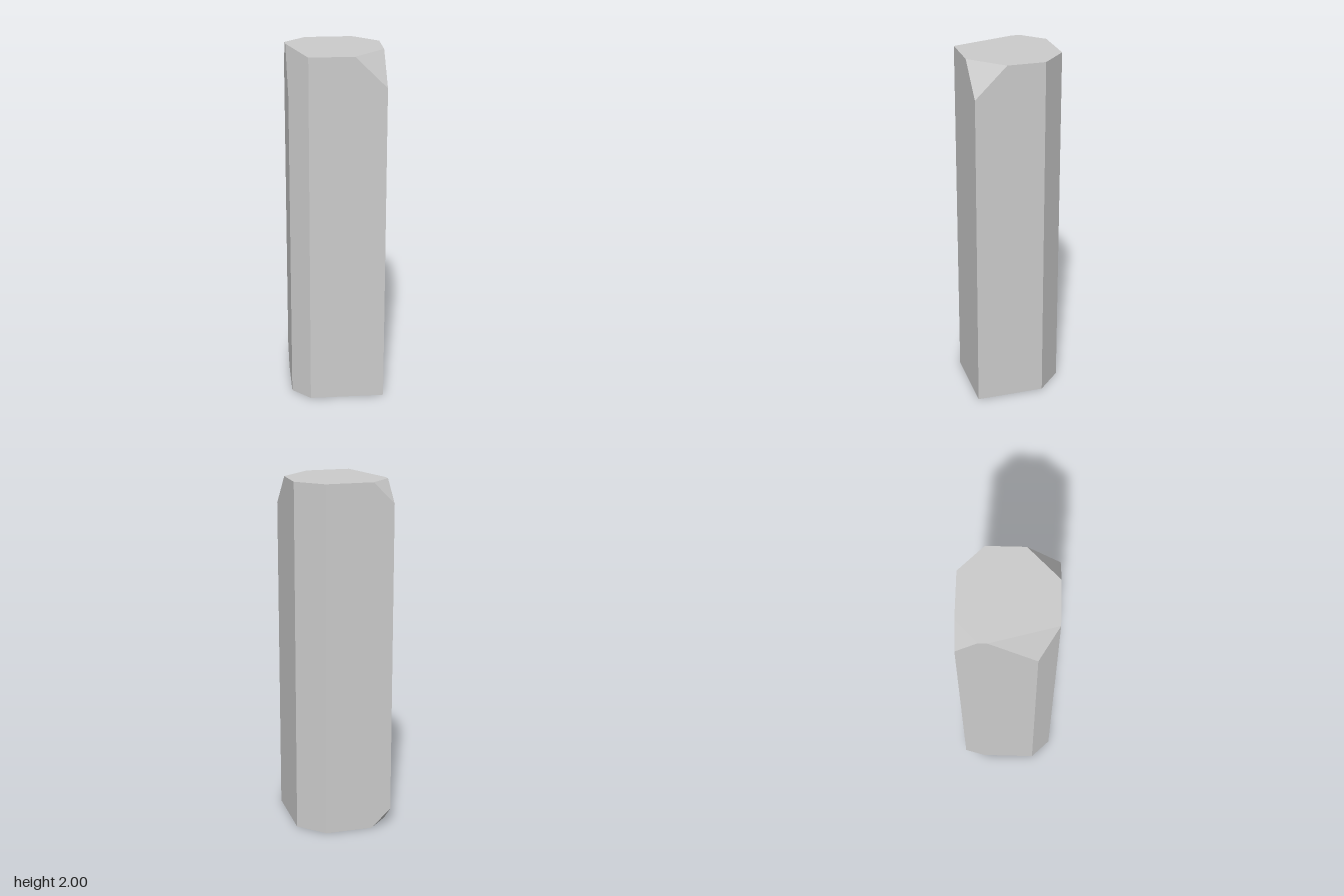
import * as THREE from 'three';
import { ConvexGeometry } from 'three/addons/geometries/ConvexGeometry.js';

const H = 2;     // height
const R = 0.261; // half width

export function createModel() {
  const points = [];
  const add = (x, y, z) => points.push(new THREE.Vector3(x, y, z));

  // Corner cut by a small triangle at one end: legs along x, z and down/up the edge
  const clippedCorner = (sx, sz, endY, leg, depth) => {
    add(sx * (R - leg), endY, sz * R);
    add(sx * R, endY, sz * (R - leg));
    add(sx * R, endY === 0 ? depth : H - depth, sz * R);
  };

  // Front left corner: clipped at the top, square at the bottom
  clippedCorner(1, 1, H, 0.175, 0.173);
  add(R, 0, R);

  // Back right corner: clipped at both ends
  clippedCorner(-1, -1, H, 0.118, 0.12);
  clippedCorner(-1, -1, 0, 0.113, 0.106);

  // Back left corner: bevelled along its full height
  for (const y of [0, H]) {
    add(0.122, y, -R);
    add(R, y, -0.125);
  }

  // Front right corner: bevelled full height, with a slanting cut at the top
  add(-0.16, 0, R);
  add(-R, 0, 0.157);
  add(-0.16, H, R);
  add(-R, H - 0.233, 0.157);
  add(-R, H, -0.096);

  const pillar = new THREE.Mesh(
    new ConvexGeometry(points),
    new THREE.MeshStandardMaterial({ color: 0xcccccc, flatShading: true })
  );
  pillar.name = 'chippedPillar';

  const model = new THREE.Group();
  model.name = 'stonePillar';
  model.add(pillar);
  return model;
}
